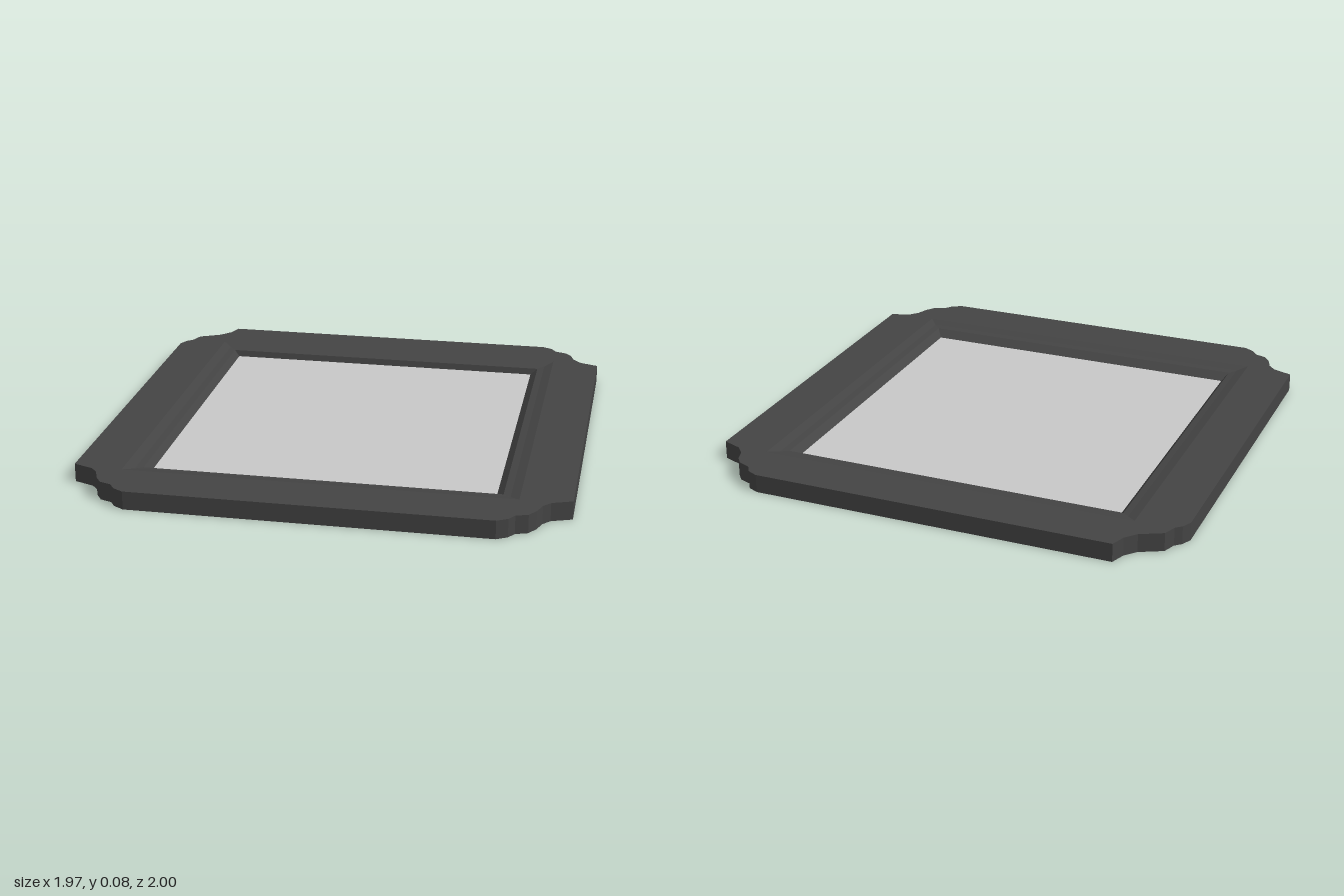
import * as THREE from 'three';

const HEIGHT = 0.075;
const BASE = 0.025;

// Scalloped outline as [x, z], one run per notched corner
const BACK_LEFT = [[-0.985, -0.735], [-0.965, -0.775], [-0.94, -0.797], [-0.92, -0.85],
  [-0.83, -0.895], [-0.79, -0.94], [-0.768, -1]];
const BACK_RIGHT = [[0.717, -1], [0.76, -0.98], [0.782, -0.945], [0.83, -0.927],
  [0.856, -0.895], [0.873, -0.845], [0.907, -0.807], [0.985, -0.778]];
const FRONT_RIGHT = [[0.985, 0.772], [0.903, 0.803], [0.875, 0.835], [0.857, 0.885],
  [0.83, 0.925], [0.782, 0.942], [0.76, 0.975], [0.717, 1]];
const FRONT_LEFT = FRONT_RIGHT.map(([x, z]) => [-x, z]).reverse();
const OUTLINE = [...BACK_LEFT, ...BACK_RIGHT, ...FRONT_RIGHT, ...FRONT_LEFT];

// Moulding steps around the opening, from the rim down to the panel
const STEPS = [
  { x0: -0.785, x1: 0.782, z0: -0.8, z1: 0.793, y: HEIGHT },
  { x0: -0.745, x1: 0.745, z0: -0.757, z1: 0.75, y: 0.064 },
  { x0: -0.717, x1: 0.715, z0: -0.73, z1: 0.722, y: 0.06 },
  { x0: -0.695, x1: 0.685, z0: -0.723, z1: 0.681, y: 0.033 },
];

const corners = (s) => [[s.x0, s.y, s.z1], [s.x1, s.y, s.z1], [s.x1, s.y, s.z0], [s.x0, s.y, s.z0]];

function slab(shape, y, depth) {
  const geometry = new THREE.ExtrudeGeometry(shape, { depth, bevelEnabled: false });
  return geometry.rotateX(-Math.PI / 2).translate(0, y, 0);
}

const outlineShape = () => new THREE.Shape(OUTLINE.map(([x, z]) => new THREE.Vector2(x, -z)));

// Mitred bands joining each rectangular step to the next
function mouldingGeometry() {
  const positions = [];
  for (let s = 0; s < STEPS.length - 1; s++) {
    const outer = corners(STEPS[s]);
    const inner = corners(STEPS[s + 1]);
    for (let i = 0; i < 4; i++) {
      const j = (i + 1) % 4;
      positions.push(...outer[i], ...outer[j], ...inner[j], ...outer[i], ...inner[j], ...inner[i]);
    }
  }
  const geometry = new THREE.BufferGeometry();
  geometry.setAttribute('position', new THREE.Float32BufferAttribute(positions, 3));
  geometry.computeVertexNormals();
  return geometry;
}

export function createModel() {
  const group = new THREE.Group();
  group.name = 'framedTile';
  const frameMaterial = new THREE.MeshStandardMaterial({ color: 0x444444 });
  frameMaterial.name = 'darkGrey';
  const panelMaterial = new THREE.MeshStandardMaterial({ color: 0xc8c8c8 });
  panelMaterial.name = 'lightGrey';

  const add = (name, geometry, material) => {
    const mesh = new THREE.Mesh(geometry, material);
    mesh.name = name;
    group.add(mesh);
  };

  // Solid base plate
  add('basePlate', slab(outlineShape(), 0, BASE), frameMaterial);

  // Raised rim with a rectangular opening
  const rim = outlineShape();
  rim.holes.push(new THREE.Path(corners(STEPS[0]).map(([x, , z]) => new THREE.Vector2(x, -z))));
  add('rim', slab(rim, BASE, HEIGHT - BASE), frameMaterial);

  // Sloping moulding inside the rim
  add('moulding', mouldingGeometry(), frameMaterial);

  // Flat recessed panel
  const p = STEPS[STEPS.length - 1];
  const panel = new THREE.BoxGeometry(p.x1 - p.x0, p.y - BASE, p.z1 - p.z0);
  panel.translate((p.x0 + p.x1) / 2, (p.y + BASE) / 2, (p.z0 + p.z1) / 2);
  add('panel', panel, panelMaterial);

  return group;
}
